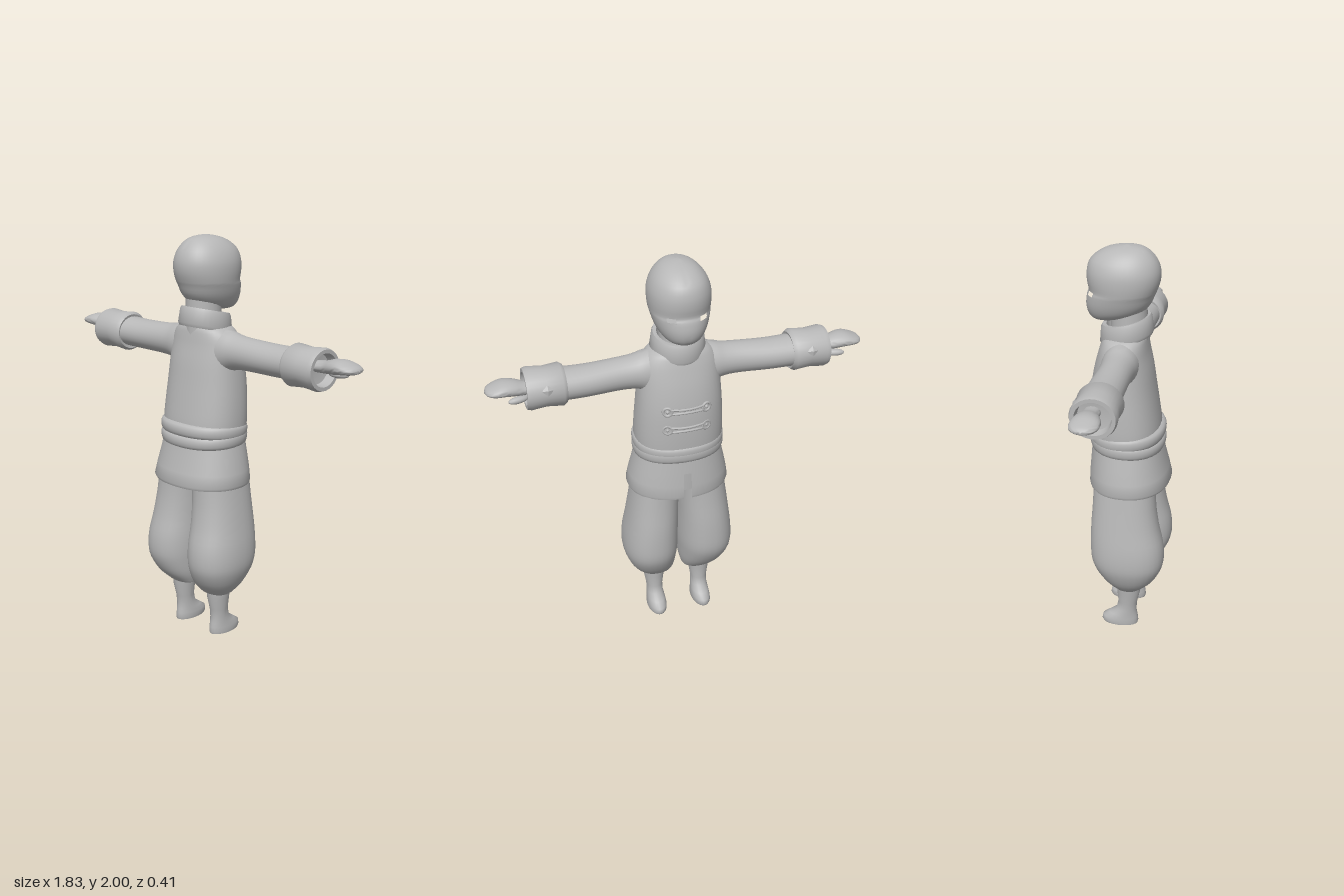
import * as THREE from 'three';
import { toCreasedNormals } from 'three/addons/utils/BufferGeometryUtils.js';

const cloth = new THREE.MeshStandardMaterial({ color: 0xb8b8b8 });
cloth.name = 'plain grey';

// Smooths a list of rings by adding Catmull-Rom rows between them
function smooth(rows, sub) {
  const out = [];
  for (let i = 0; i < rows.length - 1; i++) {
    const p0 = rows[Math.max(i - 1, 0)], p1 = rows[i], p2 = rows[i + 1];
    const p3 = rows[Math.min(i + 2, rows.length - 1)];
    for (let s = 0; s < sub; s++) {
      const t = s / sub;
      out.push(p1.map((v, k) => v + 0.5 * t * (p2[k] - p0[k] +
        t * (2 * p0[k] - 5 * v + 4 * p2[k] - p3[k] + t * (3 * (v - p2[k]) + p3[k] - p0[k])))));
    }
  }
  out.push(rows[rows.length - 1]);
  return out;
}

// Skins rings [t, a0, a1, b0, b1]: upright t=y a=x b=z, or sideways t=x a=y b=z
function loft(rings, { seg = 32, sub = 3, sideways = false, power = 2, shear = 0, mirror = false, skip, crease = 0.8 } = {}) {
  const rows = smooth(rings, sub), pos = [], tri = [];
  const bend = (c) => Math.sign(c) * Math.pow(Math.abs(c), 2 / power);
  const pts = rows.map(([t, a0, a1, b0, b1]) => Array.from({ length: seg }, (_, j) => {
    const ang = (j + 0.5) / seg * Math.PI * 2;
    const a = (a0 + a1) / 2 + (a1 - a0) / 2 * bend(Math.cos(ang));
    const b = (b0 + b1) / 2 + (b1 - b0) / 2 * bend(Math.sin(ang));
    const p = sideways ? new THREE.Vector3(t, a, b) : new THREE.Vector3(a, t + shear * b, b);
    if (mirror) p.x *= -1;
    return p;
  }));
  const flip = sideways !== mirror;
  const face = (a, b, c) => {
    const area = b.clone().sub(a).cross(c.clone().sub(a)).length();
    if (area > 1e-9) tri.push(flip ? [a, c, b] : [a, b, c]);
  };
  for (let i = 0; i < rows.length - 1; i++) {
    for (let j = 0; j < seg; j++) {
      if (skip && skip((rows[i][0] + rows[i + 1][0]) / 2, j)) continue;
      const k = (j + 1) % seg;
      face(pts[i][j], pts[i + 1][j], pts[i][k]);
      face(pts[i][k], pts[i + 1][j], pts[i + 1][k]);
    }
  }
  tri.flat().forEach((p) => pos.push(p.x, p.y, p.z));
  const geo = new THREE.BufferGeometry();
  geo.setAttribute('position', new THREE.Float32BufferAttribute(pos, 3));
  return toCreasedNormals(geo, crease);
}

// Symmetric upright ring: height, half width, front z, back z
const ring = (y, w, zf, zb) => [y, -w, w, zf, zb];

export function createModel() {
  const model = new THREE.Group();
  const add = (name, geo, parent = model) => {
    const m = new THREE.Mesh(geo, cloth);
    m.name = name;
    parent.add(m);
    return m;
  };

  // Head, with two narrow eye slits
  add('head', loft([
    ring(1.635, 0, -0.13, -0.13), ring(1.638, 0.035, -0.16, -0.08), ring(1.652, 0.075, -0.182, -0.02),
    ring(1.68, 0.105, -0.198, 0.06), ring(1.72, 0.125, -0.204, 0.102), ring(1.765, 0.138, -0.198, 0.122),
    ring(1.785, 0.142, -0.19, 0.131), ring(1.83, 0.146, -0.198, 0.145), ring(1.88, 0.142, -0.198, 0.147),
    ring(1.93, 0.122, -0.18, 0.13), ring(1.97, 0.087, -0.128, 0.095), ring(1.99, 0.048, -0.07, 0.055),
    ring(2.0, 0, -0.01, -0.01)],
  { seg: 40, power: 2.1, crease: 1.2,
    skip: (y, j) => y > 1.768 && y < 1.782 && [3, 4].includes(Math.abs(j - 29)) }));
  add('neck', new THREE.CylinderGeometry(0.085, 0.09, 0.2, 24).translate(0, 1.61, 0));

  // Standing collar, tilted forward
  add('collar', loft([
    ring(1.55, 0.1, -0.12, 0.09), ring(1.55, 0.128, -0.135, 0.112), ring(1.565, 0.133, -0.14, 0.118),
    ring(1.63, 0.124, -0.135, 0.108), ring(1.645, 0.118, -0.128, 0.1), ring(1.642, 0.1, -0.11, 0.085),
    ring(1.59, 0.088, -0.1, 0.075)], { sub: 1, shear: 0.23 }));

  // Jacket body
  add('jacket', loft([
    ring(1.0, 0.212, -0.175, 0.16), ring(1.1, 0.218, -0.182, 0.158), ring(1.2, 0.215, -0.184, 0.145),
    ring(1.3, 0.208, -0.18, 0.13), ring(1.4, 0.2, -0.165, 0.115), ring(1.48, 0.192, -0.145, 0.098),
    ring(1.53, 0.175, -0.13, 0.09), ring(1.565, 0.14, -0.115, 0.082), ring(1.585, 0.08, -0.08, 0.06),
    ring(1.59, 0, 0, 0)], { seg: 40, power: 2.3, crease: 1.2 }));

  // Jacket skirt with a hem and a slit in the front
  add('jacketSkirt', loft([
    ring(0.92, 0.2, -0.16, 0.165), ring(0.81, 0.236, -0.175, 0.19), ring(0.798, 0.25, -0.19, 0.205),
    ring(0.812, 0.256, -0.193, 0.211), ring(0.87, 0.246, -0.19, 0.198), ring(0.94, 0.23, -0.184, 0.18),
    ring(1.01, 0.214, -0.178, 0.166)],
  { seg: 48, sub: 1, power: 2.2, skip: (y, j) => y < 0.91 && j === 35 }));

  // Sash wrapped twice, the bands tilted against each other
  [[1.068, 0.05], [1.028, -0.05]].forEach(([y, shear], i) => add('sashBand' + (i + 1), loft([
    ring(y - 0.035, 0.208, -0.17, 0.155), ring(y - 0.027, 0.22, -0.183, 0.174),
    ring(y, 0.226, -0.188, 0.181), ring(y + 0.025, 0.222, -0.185, 0.174),
    ring(y + 0.035, 0.208, -0.17, 0.15)], { seg: 40, sub: 2, power: 2.2, shear })));

  // Trouser seat joining the legs
  add('trouserSeat', loft([
    ring(0.765, 0, 0, 0), ring(0.775, 0.09, -0.09, 0.09), ring(0.82, 0.2, -0.15, 0.15),
    ring(0.95, 0.2, -0.15, 0.15), ring(0.95, 0, 0, 0)], { sub: 1 }));

  // Paired limbs
  for (const mirror of [false, true]) {
    const side = mirror ? 'right' : 'left', sx = mirror ? -1 : 1;

    add(side + 'TrouserLeg', loft([
      [0.225, 0.1, 0.14, 0, 0.04], [0.226, 0.04, 0.185, -0.04, 0.08], [0.24, 0.028, 0.205, -0.06, 0.1],
      [0.29, 0.016, 0.245, -0.105, 0.15], [0.36, 0.01, 0.275, -0.147, 0.188], [0.42, 0.006, 0.284, -0.166, 0.2],
      [0.5, 0.005, 0.28, -0.17, 0.195], [0.6, 0.006, 0.265, -0.168, 0.172], [0.72, 0.004, 0.247, -0.16, 0.155],
      [0.87, 0, 0.225, -0.155, 0.15]], { power: 2.25, mirror }));

    add(side + 'Foot', loft([
      [0, 0.12, 0.12, -0.02, -0.02], [0, 0.075, 0.17, -0.115, 0.065], [0.012, 0.072, 0.172, -0.122, 0.068],
      [0.035, 0.073, 0.17, -0.118, 0.066], [0.058, 0.076, 0.168, -0.085, 0.062], [0.085, 0.08, 0.165, -0.046, 0.058],
      [0.13, 0.08, 0.166, -0.036, 0.062], [0.2, 0.07, 0.177, -0.042, 0.078], [0.26, 0.065, 0.182, -0.045, 0.08]],
    { seg: 24, sub: 1, mirror, crease: 1 }));

    add(side + 'Sleeve', loft([
      [0.1, 1.33, 1.57, -0.105, 0.075], [0.17, 1.36, 1.558, -0.104, 0.067], [0.22, 1.378, 1.545, -0.1, 0.06],
      [0.3, 1.383, 1.538, -0.1, 0.056], [0.45, 1.382, 1.532, -0.114, 0.055], [0.59, 1.384, 1.535, -0.122, 0.062]],
    { sideways: true, mirror, seg: 28 }));

    // Turned-back cuff, open at the wrist
    add(side + 'Cuff', loft([
      [0.555, 0.06], [0.548, 0.088], [0.565, 0.1], [0.64, 0.093], [0.715, 0.1],
      [0.734, 0.094], [0.734, 0.077], [0.69, 0.07], [0.68, 0],
    ].map(([x, r]) => [x, 1.457 - r, 1.457 + r, -0.027 - r * 1.07, -0.027 + r * 1.07]),
    { sideways: true, mirror, sub: 1, seg: 28 }));
    const gem = add(side + 'CuffDiamond', new THREE.OctahedronGeometry(1).scale(0.03, 0.026, 0.01));
    gem.position.set(0.64 * sx, 1.485, -0.123);
    gem.rotation.x = 0.3;

    // Mitten-like hand and thumb
    add(side + 'Hand', loft([
      [0.67, 1.44, 1.495, -0.075, 0], [0.73, 1.442, 1.5, -0.082, 0.002], [0.78, 1.445, 1.515, -0.094, 0.018],
      [0.83, 1.452, 1.518, -0.102, 0.03], [0.875, 1.457, 1.505, -0.1, 0.024],
      [0.905, 1.465, 1.492, -0.078, 0], [0.917, 1.476, 1.476, -0.04, -0.04]],
    { sideways: true, mirror, seg: 24, crease: 1.2 }));
    const thumb = add(side + 'Thumb', new THREE.SphereGeometry(1, 16, 10).scale(0.05, 0.017, 0.019));
    thumb.position.set(0.77 * sx, 1.436, -0.08);
    thumb.rotation.y = 0.25 * sx;
  }

  // Two looped frog fasteners across the chest
  [1.3, 1.2].forEach((y, i) => {
    const frog = new THREE.Group();
    frog.name = 'fastener' + (i + 1);
    frog.position.set(0, y, 0);
    model.add(frog);
    for (const s of [-1, 1]) {
      const loop = add('loop', new THREE.TorusGeometry(0.021, 0.007, 8, 18), frog);
      loop.position.set(0.095 * s, 0, -0.167);
      loop.rotation.y = -0.32 * s;
      add('button', new THREE.SphereGeometry(0.009, 10, 8), frog).position.set(0.095 * s, 0, -0.168);
      const path = new THREE.QuadraticBezierCurve3(
        new THREE.Vector3(-0.078, 0.012 * s, -0.174),
        new THREE.Vector3(0, 0.006 * s, -0.197),
        new THREE.Vector3(0.078, 0.012 * s, -0.174));
      add('cord', new THREE.TubeGeometry(path, 12, 0.006, 8), frog);
    }
  });

  return model;
}
